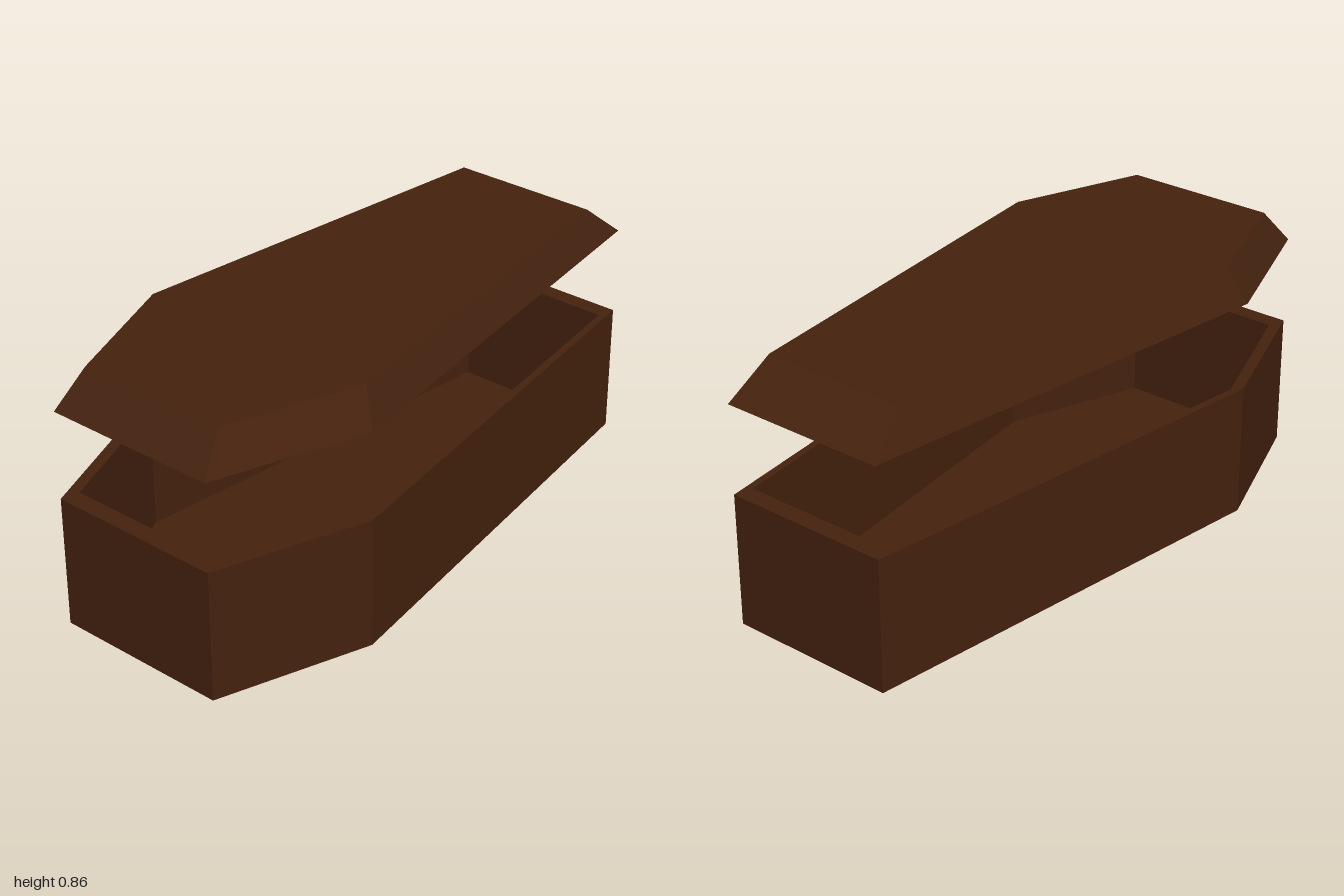
import * as THREE from 'three';

const BOX_H = 0.447, FLOOR_H = 0.027, LID_Y = 0.745, LID_H = 0.118;
const INNER = 0.94; // cavity outline relative to the outer outline

// Six-sided outline, widest near the -x end
const outline = (s = 1) => [
  [-1, -0.295], [-0.5, -0.477], [1, -0.286],
  [1, 0.286], [-0.5, 0.477], [-1, 0.295],
].map(([x, z]) => new THREE.Vector2(x * s, z * s));

// Extrudes a shape upwards from y = 0
function upright(shape, height) {
  const geo = new THREE.ExtrudeGeometry(shape, { depth: height, bevelEnabled: false });
  return geo.rotateX(-Math.PI / 2);
}

export function createModel() {
  const group = new THREE.Group();
  group.name = 'coffin';
  const wood = new THREE.MeshStandardMaterial({ color: 0x45220e, flatShading: true });
  wood.name = 'darkWood';

  const add = (name, geo, y = 0) => {
    const mesh = new THREE.Mesh(geo, wood);
    mesh.name = name;
    mesh.position.y = y;
    group.add(mesh);
  };

  // Hollow side walls
  const wallShape = new THREE.Shape(outline());
  wallShape.holes.push(new THREE.Path(outline(INNER).reverse()));
  add('walls', upright(wallShape, BOX_H));

  // Floor panel filling the bottom of the cavity
  add('floor', upright(new THREE.Shape(outline(INNER)), FLOOR_H));

  // Floating lid: the top outline shrinks to give sloping sides
  const lid = upright(new THREE.Shape(outline()), LID_H);
  const pos = lid.attributes.position;
  for (let i = 0; i < pos.count; i++) {
    if (pos.getY(i) > LID_H / 2) {
      pos.setX(i, pos.getX(i) * 0.88 - 0.02);
      pos.setZ(i, pos.getZ(i) * 0.88);
    }
  }
  lid.computeVertexNormals();
  add('lid', lid, LID_Y);

  return group;
}
